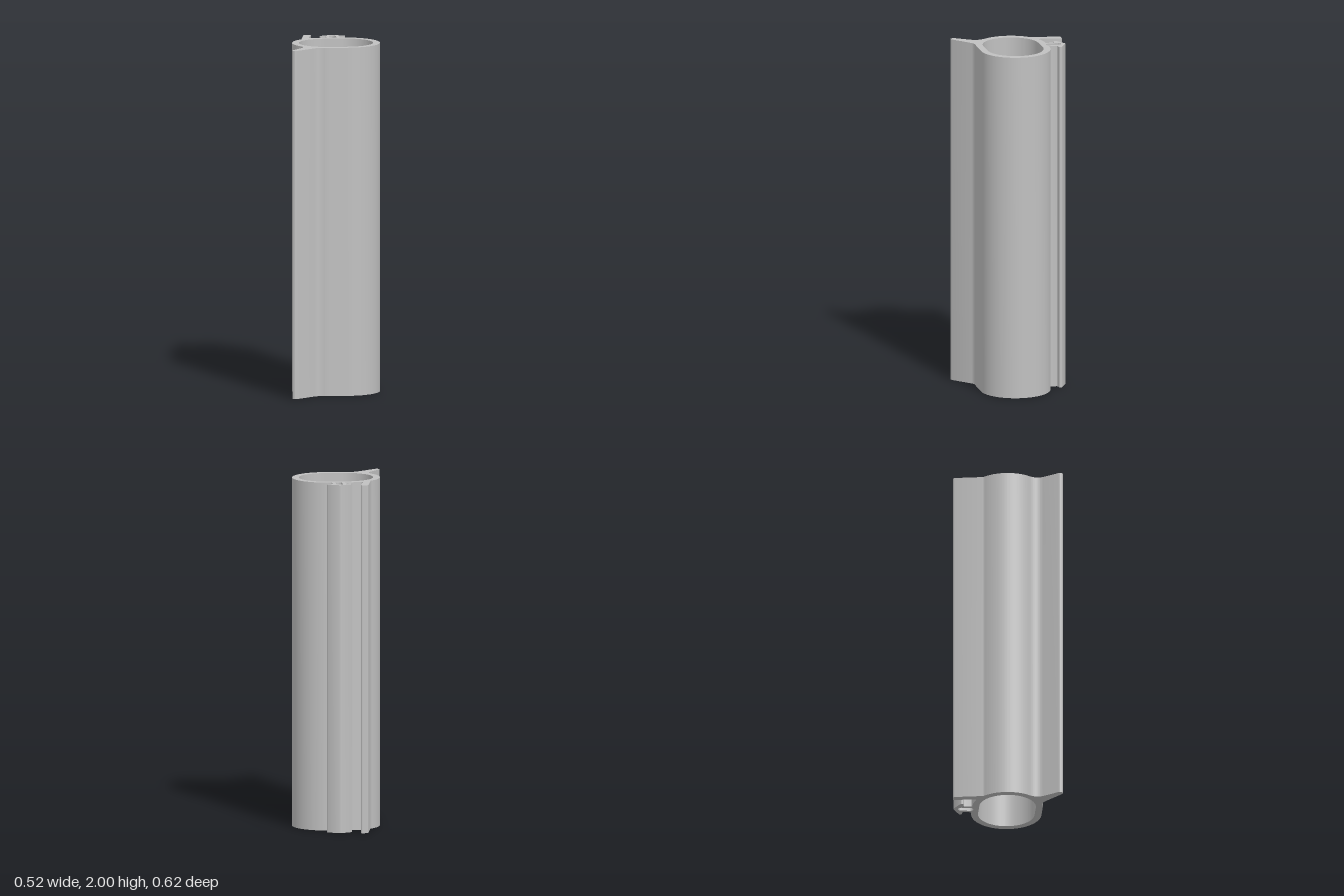
import * as THREE from 'three';
import { toCreasedNormals } from 'three/addons/utils/BufferGeometryUtils.js';

const LENGTH = 2;
const CV = -0.007; // middle of the tube, measured towards the back
const LEFT = -0.04, RIGHT = 0.06; // centres of the two round ends
const CLIP = 0.011; // middle of the arrow clip

// Closed slot running front to back or side to side, used as a hole
function slot(draw) {
  const path = new THREE.Path();
  draw(path);
  path.closePath();
  return path;
}

// Outline seen from above: x to the right, v towards the back
function createProfile() {
  const s = new THREE.Shape();
  const angle = (x, v) => Math.atan2(v - CV, x - LEFT);

  // Right round end
  s.moveTo(RIGHT, CV - 0.2);
  s.absarc(RIGHT, CV, 0.2, -Math.PI / 2, Math.PI / 2, false);

  // Arrow clip: right half up, left half mirrored down
  const h = (d) => CLIP + d, m = (d) => CLIP - d;
  s.lineTo(h(0.047), 0.193);
  s.quadraticCurveTo(h(0.038), 0.193, h(0.038), 0.203);
  s.lineTo(h(0.038), 0.234);
  s.quadraticCurveTo(h(0.038), 0.244, h(0.047), 0.244);
  s.lineTo(h(0.062), 0.244);
  s.bezierCurveTo(h(0.072), 0.245, h(0.076), 0.257, h(0.067), 0.263);
  s.lineTo(h(0.006), 0.297);
  s.quadraticCurveTo(CLIP, 0.3, m(0.006), 0.297);
  s.lineTo(m(0.067), 0.263);
  s.bezierCurveTo(m(0.076), 0.257, m(0.072), 0.245, m(0.062), 0.244);
  s.lineTo(m(0.047), 0.244);
  s.quadraticCurveTo(m(0.038), 0.244, m(0.038), 0.234);
  s.lineTo(m(0.038), 0.203);
  s.quadraticCurveTo(m(0.038), 0.193, m(0.047), 0.193);

  // Round end up to the straight back fin
  s.absarc(LEFT, CV, 0.2, Math.PI / 2, angle(-0.113, 0.179), false);
  s.bezierCurveTo(-0.121, 0.176, -0.129, 0.182, -0.127, 0.191);
  s.lineTo(-0.108, 0.3);
  s.quadraticCurveTo(-0.107, 0.31, -0.115, 0.31);
  s.lineTo(-0.139, 0.31);
  s.quadraticCurveTo(-0.147, 0.31, -0.149, 0.302);
  s.lineTo(-0.174, 0.145);
  s.quadraticCurveTo(-0.175, 0.139, -0.178, 0.136);

  // Left round end down to the slanted front lip
  s.absarc(LEFT, CV, 0.2, angle(-0.178, 0.136), angle(-0.205, -0.12), false);
  s.bezierCurveTo(-0.188, -0.145, -0.187, -0.175, -0.2, -0.196);
  s.lineTo(-0.26, -0.281);
  s.bezierCurveTo(-0.27, -0.3, -0.25, -0.315, -0.234, -0.303);
  s.lineTo(-0.133, -0.217);
  s.bezierCurveTo(-0.11, -0.198, -0.09, -0.201, -0.07, -0.205);
  s.quadraticCurveTo(-0.055, -0.207, LEFT, CV - 0.2);
  s.closePath();

  // Main bore and the small slot in the clip
  s.holes.push(
    slot((p) => {
      p.absarc(RIGHT, CV, 0.161, -Math.PI / 2, Math.PI / 2, false);
      p.absarc(LEFT, CV, 0.161, Math.PI / 2, Math.PI * 1.5, false);
    }),
    slot((p) => {
      p.absarc(CLIP, 0.253, 0.019, 0, Math.PI, false);
      p.absarc(CLIP, 0.203, 0.019, Math.PI, Math.PI * 2, false);
    })
  );
  return s;
}

export function createModel() {
  const rubber = new THREE.MeshStandardMaterial({ color: 0xc0c0c0 });
  rubber.name = 'grey rubber';

  // Profile pulled straight up
  const geometry = new THREE.ExtrudeGeometry(createProfile(), {
    depth: LENGTH, bevelEnabled: false, curveSegments: 24,
  });
  geometry.rotateX(-Math.PI / 2);
  const seal = new THREE.Mesh(toCreasedNormals(geometry, Math.PI / 7), rubber);
  seal.name = 'sealStrip';

  const group = new THREE.Group();
  group.name = 'bulbSeal';
  group.add(seal);
  return group;
}
